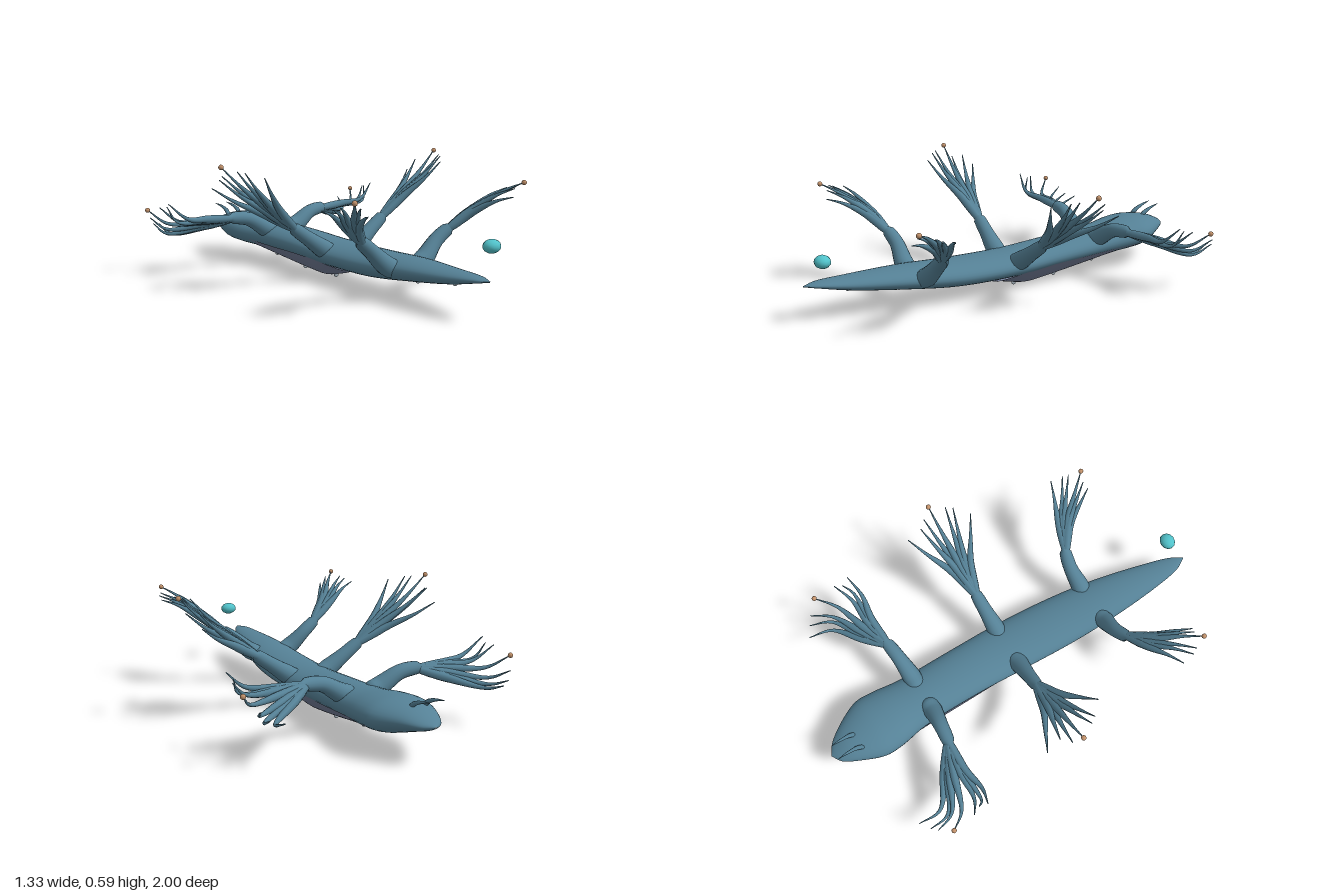
import * as THREE from 'three';

const mat = (name, color, side = THREE.FrontSide) => {
  const m = new THREE.MeshStandardMaterial({ color, side });
  m.name = name;
  return m;
};
const V = (p) => new THREE.Vector3(...p);

// Round tube along a smooth path whose radius follows a list of values
function taperedTube(points, radii, segs, sides) {
  const curve = new THREE.CatmullRomCurve3(points.map(V));
  const geo = new THREE.TubeGeometry(curve, segs, 1, sides, false);
  const pos = geo.attributes.position;
  const v = new THREE.Vector3();
  for (let i = 0; i <= segs; i++) {
    const c = curve.getPointAt(i / segs);
    const t = (i / segs) * (radii.length - 1);
    const k = Math.min(Math.floor(t), radii.length - 2);
    const r = THREE.MathUtils.lerp(radii[k], radii[k + 1], t - k);
    for (let j = 0; j <= sides; j++) {
      const n = i * (sides + 1) + j;
      v.fromBufferAttribute(pos, n).sub(c).multiplyScalar(r).add(c);
      pos.setXYZ(n, v.x, v.y, v.z);
    }
  }
  return geo;
}

// Smooth skin through stations; section(values, u) returns [x, y, z]
function loft(stations, rows, cols, section, closed) {
  const pos = [], idx = [];
  const n = stations.length - 1;
  const curves = stations[0].map((_, k) => new THREE.CatmullRomCurve3(
    stations.map((s) => new THREE.Vector3(s[k], 0, s[0])), false, 'centripetal'));
  for (let i = 0; i <= rows; i++) {
    const vals = curves.map((c) => c.getPoint(i / rows).x);
    for (let j = 0; j < cols + (closed ? 0 : 1); j++) pos.push(...section(vals, j / cols));
  }
  const w = closed ? cols : cols + 1;
  for (let i = 0; i < rows; i++) for (let j = 0; j < cols; j++) {
    const a = i * w + j, b = i * w + (j + 1) % w;
    idx.push(a, b, a + w, b, b + w, a + w);
  }
  const g = new THREE.BufferGeometry();
  g.setAttribute('position', new THREE.Float32BufferAttribute(pos, 3));
  g.setIndex(idx);
  g.computeVertexNormals();
  return g;
}

export function createModel() {
  const model = new THREE.Group();
  const skin = mat('blue skin', 0x558196);
  const sole = mat('grey violet sole', 0x717b95, THREE.DoubleSide);
  const tan = mat('tan tips', 0xc4936c);
  const aqua = mat('aqua bubble', 0x52c3cb);
  const pale = mat('pale spots', 0xb9c8d2);
  const add = (parent, name, geo, m, at) => {
    const mesh = new THREE.Mesh(geo, m);
    mesh.name = name;
    if (at) mesh.position.set(...at);
    parent.add(mesh);
    return mesh;
  };

  // Body stations: z, centre x, half width, top y, bottom y
  const body = [
    [-1, -0.03, 0.002, 0.177, 0.173], [-0.97, -0.028, 0.05, 0.195, 0.155],
    [-0.9, -0.02, 0.098, 0.225, 0.132], [-0.78, -0.01, 0.152, 0.245, 0.095],
    [-0.69, -0.007, 0.152, 0.242, 0.085], [-0.55, 0, 0.132, 0.225, 0.08],
    [-0.24, 0.004, 0.13, 0.205, 0.075], [0, 0, 0.135, 0.19, 0.066],
    [0.3, -0.018, 0.131, 0.19, 0.068], [0.55, -0.04, 0.11, 0.197, 0.095],
    [0.8, -0.065, 0.07, 0.192, 0.13], [0.94, -0.078, 0.036, 0.187, 0.16],
    [1, -0.08, 0.002, 0.177, 0.173],
  ];
  add(model, 'body', loft(body, 72, 32, ([z, cx, w, top, bot], u) => {
    const a = u * Math.PI * 2;
    return [cx + w * Math.cos(a), (top + bot) / 2 + (top - bot) / 2 * Math.sin(a), z];
  }, true), skin);

  // Foot stations: z, half width, edge y, keel y
  const foot = [
    [-0.76, 0.14, 0.142, 0.1], [-0.72, 0.14, 0.135, 0.083], [-0.6, 0.132, 0.13, 0.066],
    [-0.4, 0.127, 0.12, 0.038], [-0.2, 0.123, 0.112, 0.014], [-0.1, 0.12, 0.105, 0.008],
    [0, 0.118, 0.095, 0.028], [0.12, 0.11, 0.082, 0.062],
  ];
  add(model, 'foot', loft(foot, 36, 20, ([z, w, edge, keel], u) => {
    const s = u * 2 - 1;
    return [w * s, keel + (edge - keel) * Math.abs(s) ** 1.6, z];
  }, false), sole);

  // Limb pairs: arm path, then finger tips; the tip numbered "ball" carries a bead
  const limbs = [
    { name: 'front', cx: 0, ball: 2, sag: -0.05, curl: 0.05,
      arm: [[0.07, 0.19, -0.485], [0.1, 0.2, -0.485], [0.2, 0.255, -0.495], [0.32, 0.27, -0.51]],
      tips: [[0.645, 0.37, -0.51], [0.65, 0.345, -0.585], [0.655, 0.32, -0.695], [0.61, 0.27, -0.755],
        [0.58, 0.235, -0.78], [0.53, 0.225, -0.81], [0.63, 0.35, -0.55]] },
    { name: 'middle', cx: 0, ball: 2, sag: -0.012, curl: 0,
      arm: [[0.085, 0.15, -0.005], [0.12, 0.17, -0.005], [0.2, 0.225, -0.01], [0.3, 0.295, -0.015]],
      tips: [[0.61, 0.475, -0.18], [0.6, 0.535, -0.11], [0.655, 0.585, -0.03], [0.62, 0.57, 0.04],
        [0.6, 0.565, 0.07], [0.54, 0.545, 0.13], [0.64, 0.525, -0.07]] },
    { name: 'hind', cx: -0.035, ball: 2, sag: 0.015, curl: 0,
      arm: [[0.085, 0.15, 0.475], [0.12, 0.17, 0.475], [0.2, 0.24, 0.468], [0.29, 0.305, 0.485]],
      tips: [[0.555, 0.46, 0.575], [0.545, 0.47, 0.635], [0.505, 0.5, 0.715], [0.46, 0.475, 0.7],
        [0.435, 0.44, 0.715], [0.53, 0.48, 0.66]] },
  ];
  const bead = new THREE.SphereGeometry(0.012, 12, 8);
  for (const { name, cx, ball, sag, curl, arm, tips } of limbs) {
    for (const side of [1, -1]) {
      const g = new THREE.Group();
      g.name = name + (side > 0 ? 'LeftLimb' : 'RightLimb');
      g.position.x = cx;
      model.add(g);
      const flip = (p) => [p[0] * side, p[1], p[2]];
      add(g, 'arm', taperedTube(arm.map(flip), [0.044, 0.045, 0.041, 0.037, 0.034, 0.033, 0.03, 0.004], 28, 16), skin);
      add(g, 'shoulder', new THREE.SphereGeometry(0.044, 16, 12), skin, flip(arm[0]));
      const [root, hub] = [arm[2], arm[3]];
      tips.forEach((tip, i) => {
        const at = (t, ease) => [0, 1, 2].map((k) => THREE.MathUtils.lerp(hub[k], tip[k], k === 2 ? t ** ease : t));
        const m1 = at(0.35, 1.15), m2 = at(0.72, 1.1);
        m1[1] += sag * 0.6;
        m2[1] += sag;
        m2[0] += curl * Math.min(1, i / 4);
        m2[2] += curl * 0.4;
        const start = root.map((v, k) => THREE.MathUtils.lerp(v, hub[k], 0.6));
        add(g, 'finger', taperedTube([start, m1, m2, tip].map(flip),
          [0.016, 0.02, 0.021, 0.018, 0.014, 0.009, 0.005, 0.002], 24, 8), skin);
        if (i === ball) add(g, 'tipBead', bead, tan, flip(tip));
      });
    }
  }

  // Swept-forward feelers on the head
  for (const x of [-0.082, -0.012]) {
    add(model, 'feeler', taperedTube([[x, 0.215, -0.85], [x + 0.004, 0.24, -0.875],
      [x + 0.002, 0.26, -0.92], [x - 0.004, 0.272, -0.975]], [0.011, 0.011, 0.008, 0.005, 0.001], 18, 8), skin);
  }

  // Row of spots along the underside
  const spots = [[-0.065, 0.132, 0.8], [-0.04, 0.096, 0.56], [-0.017, 0.067, 0.28],
    [0, 0.015, -0.04], [0, 0.018, -0.28], [0, 0.05, -0.52]];
  for (const p of spots) add(model, 'bellySpot', new THREE.SphereGeometry(0.011, 10, 8), pale, p);

  // Floating bubble above the tail
  add(model, 'bubble', new THREE.SphereGeometry(0.042, 12, 8), aqua, [0, 0.3, 0.935]).scale.set(1, 0.7, 0.86);

  return model;
}
